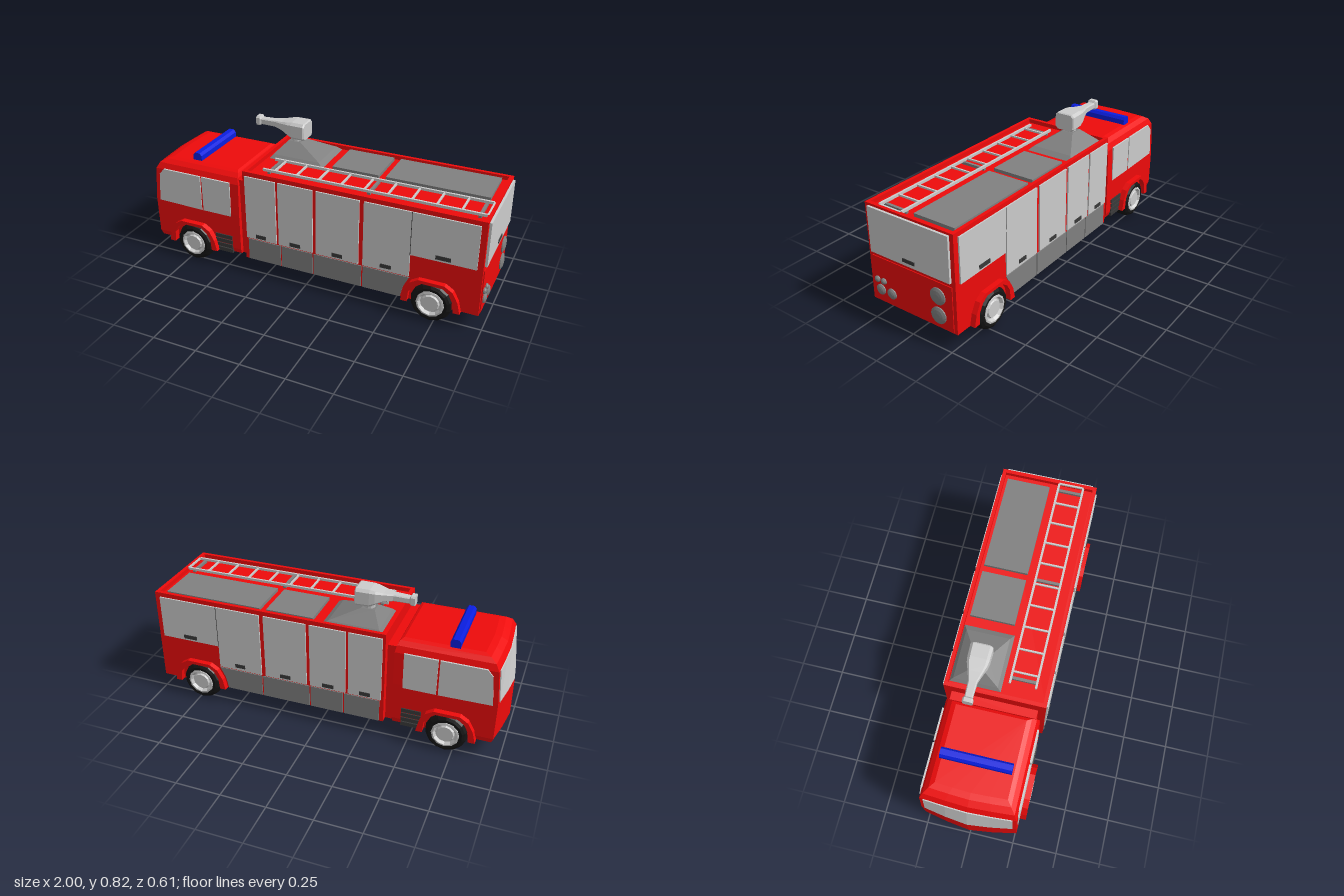
import * as THREE from 'three';

const mat = (color) => new THREE.MeshStandardMaterial({ color, flatShading: true });
const RED = mat(0xee0a0a), LIGHT = mat(0xcccccc), GREY = mat(0x808080), DARK = mat(0x3a3a3a);
const BLACK = mat(0x141414), BLUE = mat(0x0a1ee0);

export function createModel() {
  const root = new THREE.Group();
  const add = (name, geo, material, x = 0, y = 0, z = 0, parent = root) => {
    const m = new THREE.Mesh(geo, material);
    m.name = name;
    m.position.set(x, y, z);
    parent.add(m);
    return m;
  };
  // Box given by its min and max corners
  const box = (name, material, x0, x1, y0, y1, z0, z1) =>
    add(name, new THREE.BoxGeometry(x1 - x0, y1 - y0, z1 - z0), material, (x0 + x1) / 2, (y0 + y1) / 2, (z0 + z1) / 2);
  // Side plate from an x/y outline, on both sides between |z| = z0 and z1
  const sidePlate = (name, material, pts, z0, z1) => {
    const shape = new THREE.Shape(pts.map(([x, y]) => new THREE.Vector2(x, y)));
    const geo = new THREE.ExtrudeGeometry(shape, { depth: z1 - z0, bevelEnabled: false });
    add(name + 'Left', geo, material, 0, 0, z0);
    add(name + 'Right', geo, material, 0, 0, -z1);
  };
  const rect = (x0, x1, y0, y1) => [[x0, y0], [x1, y0], [x1, y1], [x0, y1]];

  // Capped skin over rings (counter-clockwise seen from the last ring)
  const loft = (rings) => {
    const n = rings[0].length, idx = [];
    for (let i = 0; i < rings.length - 1; i++)
      for (let j = 0; j < n; j++) {
        const a = i * n + j, b = i * n + (j + 1) % n;
        idx.push(a, b, b + n, a, b + n, a + n);
      }
    const e = (rings.length - 1) * n;
    for (let j = 1; j < n - 1; j++) idx.push(0, j + 1, j, e, e + j, e + j + 1);
    const g = new THREE.BufferGeometry();
    g.setAttribute('position', new THREE.Float32BufferAttribute(rings.flat(2), 3));
    g.setIndex(idx);
    g.computeVertexNormals();
    return g;
  };
  // Plan of the cab: straight back, pointed bowed nose
  const cabRing = ([y, nose, side, back, h]) => {
    const mid = side + (nose - side) * 0.6;
    return [[back, y, h], [back, y, -h], [side, y, -h], [mid, y, -h / 2], [nose, y, 0], [mid, y, h / 2], [side, y, h]];
  };

  // Cab
  add('cab', loft([
    [0.1, -0.99, -0.948, -0.41, 0.25], [0.13, -1, -0.957, -0.408, 0.26], [0.35, -1, -0.96, -0.408, 0.26],
    [0.54, -0.96, -0.945, -0.408, 0.255], [0.575, -0.94, -0.925, -0.415, 0.24],
    [0.595, -0.905, -0.892, -0.425, 0.215], [0.602, -0.87, -0.86, -0.44, 0.19],
  ].map(cabRing)), RED);
  add('windshield', loft([
    [0.355, -1, -0.966, -0.93, 0.24], [0.54, -0.966, -0.952, -0.92, 0.235],
  ].map(cabRing)), LIGHT);
  sidePlate('frontWindow', LIGHT, [[-0.935, 0.34], [-0.65, 0.335], [-0.65, 0.545], [-0.89, 0.545], [-0.92, 0.51]], 0.24, 0.263);
  sidePlate('rearWindow', LIGHT, rect(-0.64, -0.46, 0.335, 0.545), 0.24, 0.263);
  for (let i = 0; i < 4; i++)
    sidePlate('vent' + i, DARK, rect(-0.568, -0.46, 0.096 + i * 0.029, 0.119 + i * 0.029), 0.25, 0.266);
  box('cabNeck', RED, -0.42, -0.36, 0.1, 0.565, -0.235, 0.235);

  // Light bar: chamfered prism
  const bar = new THREE.Shape([[-0.027, 0], [0.027, 0], [0.027, 0.033], [0.015, 0.048], [-0.015, 0.048], [-0.027, 0.033]]
    .map(([x, y]) => new THREE.Vector2(x, y)));
  add('lightBar', new THREE.ExtrudeGeometry(bar, { depth: 0.38, bevelEnabled: false }), BLUE, -0.708, 0.598, -0.2);

  // Body with a raised rim around the roof
  box('body', RED, -0.365, 0.98, 0.1, 0.622, -0.275, 0.275);
  box('rimFront', RED, -0.365, -0.343, 0.62, 0.645, -0.275, 0.275);
  box('rimBack', RED, 0.958, 0.98, 0.62, 0.645, -0.275, 0.275);
  for (const s of [-1, 1]) box('rimSide', RED, -0.365, 0.98, 0.62, 0.645, s * 0.265 - 0.01, s * 0.265 + 0.01);

  // Side shutters, lower skirts and handles
  const shutters = [[-0.35, -0.165], [-0.15, 0.055], [0.075, 0.32]];
  shutters.forEach(([a, b], i) => sidePlate('shutter' + i, LIGHT, rect(a, b, 0.24, 0.62), 0.27, 0.283));
  sidePlate('rearShutter', LIGHT, [[0.345, 0.24], [0.603, 0.24], [0.603, 0.372], [0.95, 0.372], [0.95, 0.62], [0.345, 0.62]], 0.27, 0.283);
  sidePlate('shutterSeam', DARK, rect(0.602, 0.605, 0.372, 0.62), 0.27, 0.2835);
  [[-0.342, -0.142], [-0.135, 0.053], [0.06, 0.338]].forEach(([a, b], i) =>
    sidePlate('skirt' + i, GREY, rect(a, b, 0.102, 0.232), 0.27, 0.28));
  sidePlate('rearSkirt', GREY, [[0.346, 0.102], [0.56, 0.102], [0.575, 0.17], [0.605, 0.232], [0.346, 0.232]], 0.27, 0.28);
  [[-0.26, 0.26, 0.03], [-0.05, 0.261, 0.032], [0.2, 0.262, 0.03], [0.475, 0.268, 0.03], [0.777, 0.395, 0.04]].forEach(([x, y, w], i) =>
    sidePlate('handle' + i, DARK, rect(x - w, x + w, y - 0.011, y + 0.011), 0.278, 0.287));

  // Back: shutter, lower panel, lamps
  box('backShutter', LIGHT, 0.97, 0.993, 0.383, 0.633, -0.252, 0.252);
  box('backHandle', DARK, 0.985, 0.997, 0.403, 0.422, -0.038, 0.038);
  box('backPanel', RED, 0.97, 0.985, 0.106, 0.36, -0.255, 0.255);
  [[0.283, -0.168, 0.046], [0.175, -0.168, 0.046], [0.175, 0.21, 0.029], [0.175, 0.137, 0.029], [0.23, 0.23, 0.017], [0.23, 0.187, 0.017]]
    .forEach(([y, z, r]) => {
      const prof = [[r, 0], [r, 0.006], [r * 0.7, 0.012], [r * 0.35, 0.015], [0, 0.015]].map(([a, b]) => new THREE.Vector2(a, b));
      add('backLamp', new THREE.LatheGeometry(prof, 20), GREY, 0.985, y, z).rotation.z = -Math.PI / 2;
    });

  // Wheels, axles and arch flares
  const lathe = (pts, n) => new THREE.LatheGeometry(pts.map(([r, h]) => new THREE.Vector2(r, h)), n).rotateX(Math.PI / 2);
  const tire = lathe([[0, -0.062], [0.09, -0.062], [0.108, -0.045], [0.115, -0.02], [0.115, 0.03], [0.106, 0.053], [0.092, 0.062], [0.072, 0.06], [0.068, 0.045], [0, 0.045]], 14);
  const rim = lathe([[0.078, 0.05], [0.076, 0.064], [0.066, 0.066], [0.056, 0.05], [0.05, 0.05], [0.044, 0.06], [0, 0.06]], 12);
  for (const [name, x, zOut, flare] of [['front', -0.71, 0.293, 0.293], ['rear', 0.73, 0.303, 0.305]]) {
    for (const s of [1, -1]) {
      const wheel = new THREE.Group();
      wheel.name = name + 'Wheel';
      wheel.position.set(x, 0.115, s * (zOut - 0.066));
      if (s < 0) wheel.rotation.y = Math.PI;
      add('tire', tire, BLACK, 0, 0, 0, wheel);
      add('rim', rim, LIGHT, 0, 0, 0, wheel);
      root.add(wheel);
    }
    add(name + 'Axle', new THREE.CylinderGeometry(0.056, 0.056, 0.38, 10).rotateX(Math.PI / 2), LIGHT, x, 0.1, 0);
    const outer = [[-0.16, 0.1], [-0.145, 0.165], [-0.115, 0.22], [-0.07, 0.248], [0.07, 0.248], [0.115, 0.22], [0.145, 0.165], [0.16, 0.1]];
    const inner = [[0.124, 0.1], [0.118, 0.165], [0.095, 0.205], [0.06, 0.23], [-0.06, 0.23], [-0.095, 0.205], [-0.118, 0.165], [-0.124, 0.1]];
    sidePlate(name + 'Flare', RED, [...outer, ...inner].reverse().map(([a, b]) => [x + a, b]), 0.24, flare);
  }

  // Roof hatches
  box('hatchSmall', GREY, 0.05, 0.32, 0.615, 0.64, -0.237, 0.01);
  box('hatchLarge', GREY, 0.36, 0.925, 0.615, 0.64, -0.237, 0.01);

  // Ladder
  for (const z of [0.06, 0.2]) box('ladderRail', LIGHT, -0.275, 0.955, 0.634, 0.648, z - 0.006, z + 0.006);
  for (let i = 0; i < 10; i++) {
    const x = -0.207 + i * 0.1295;
    box('ladderRung', LIGHT, x - 0.005, x + 0.005, 0.636, 0.646, 0.06, 0.2);
  }
  for (const x of [-0.24, 0.34, 0.92]) box('ladderFoot', GREY, x - 0.008, x + 0.008, 0.62, 0.636, 0.055, 0.205);

  // Water cannon: sloped base, neck, head tapering into a nozzle
  const level = (y, x0, x1, z0, z1) => [[x1, y, z1], [x1, y, z0], [x0, y, z0], [x0, y, z1]];
  add('cannonBase', loft([
    level(0.618, -0.332, 0.002, -0.257, 0.028), level(0.642, -0.315, -0.035, -0.235, 0.005),
    level(0.702, -0.262, -0.188, -0.147, -0.08),
  ]), GREY);
  add('cannonNeck', new THREE.CylinderGeometry(0.033, 0.03, 0.03, 12), LIGHT, -0.224, 0.711, -0.112);
  // Chamfered rectangles along -x: [x, yMin, yMax, halfWidth]
  const slice = ([x, y0, y1, w]) => {
    const c = Math.min(w, (y1 - y0) / 2) * 0.3, z = -0.112;
    return [[w, y0 + c], [w, y1 - c], [w - c, y1], [c - w, y1], [-w, y1 - c], [-w, y0 + c], [c - w, y0], [w - c, y0]]
      .map(([a, y]) => [x, y, z + a]).reverse();
  };
  add('cannonHead', loft([
    [-0.155, 0.724, 0.814, 0.054], [-0.162, 0.72, 0.819, 0.06], [-0.235, 0.722, 0.819, 0.058], [-0.265, 0.738, 0.814, 0.054],
    [-0.305, 0.756, 0.806, 0.04], [-0.355, 0.764, 0.801, 0.024], [-0.44, 0.764, 0.798, 0.021],
    [-0.448, 0.756, 0.81, 0.027], [-0.47, 0.756, 0.81, 0.027],
  ].map(slice).map((r) => r.reverse())), LIGHT);
  return root;
}
